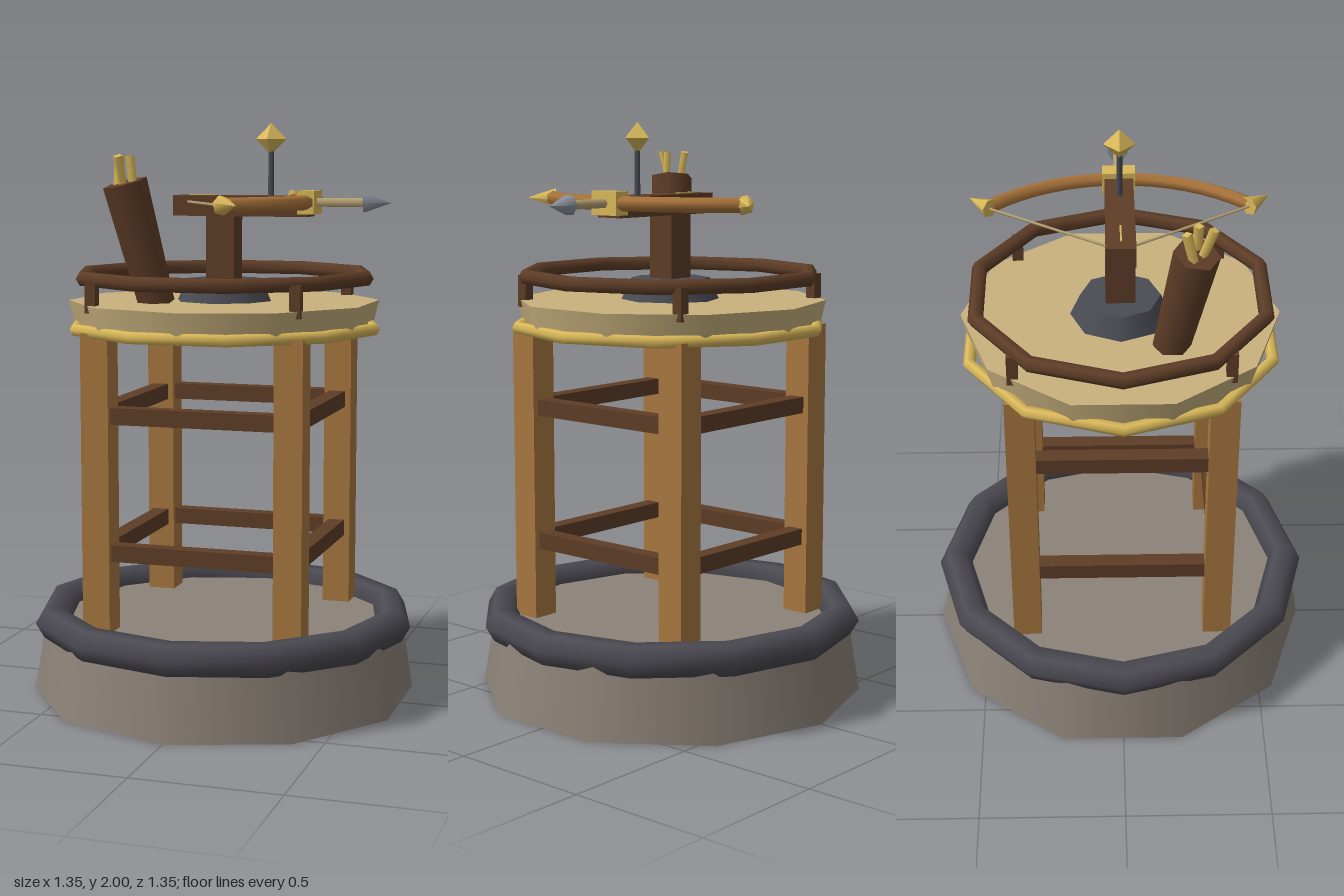
import * as THREE from 'three';

const mat = (color) => new THREE.MeshStandardMaterial({ color });
const V = (x, y, z) => new THREE.Vector3(x, y, z);

export function createModel() {
  const model = new THREE.Group();
  model.name = 'boltThrowerTower';

  const stone = mat(0x8c8278), iron = mat(0x4c4a52), oak = mat(0xa87840);
  const walnut = mat(0x5e3d27), deck = mat(0xc9b27e), gold = mat(0xdbb95a);
  const slate = mat(0x4a4c55), bowWood = mat(0xa8733a), cord = mat(0xb8a274);
  const steel = mat(0x8a909c);

  const add = (name, geo, material, x = 0, y = 0, z = 0) => {
    const m = new THREE.Mesh(geo, material);
    m.name = name;
    m.position.set(x, y, z);
    model.add(m);
    return m;
  };
  const box = (name, material, w, h, d, x, y, z) =>
    add(name, new THREE.BoxGeometry(w, h, d), material, x, y, z);
  const ring = (name, material, r, tube, y, sides) =>
    add(name, new THREE.TorusGeometry(r, tube, 6, sides).rotateX(Math.PI / 2), material, 0, y, 0);
  // Cylinder, cone or prism running from point a to point b
  const rod = (name, material, a, b, ra, rb, sides) => {
    const dir = b.clone().sub(a);
    const m = add(name, new THREE.CylinderGeometry(rb, ra, dir.length(), sides), material);
    m.position.copy(a).add(b).multiplyScalar(0.5);
    m.quaternion.setFromUnitVectors(V(0, 1, 0), dir.normalize());
    return m;
  };

  // Stone foot and its rim
  add('base', new THREE.CylinderGeometry(0.633, 0.677, 0.27, 10), stone, 0, 0.135, 0);
  ring('baseRim', iron, 0.615, 0.06, 0.271, 12);

  // Four legs with the railing posts above them
  for (const sx of [-1, 1]) {
    for (const sz of [-1, 1]) {
      box('leg', oak, 0.098, 1.04, 0.098, sx * 0.338, 0.78, sz * 0.338);
      box('railPost', walnut, 0.037, 0.11, 0.037, sx * 0.355, 1.422, sz * 0.355);
    }
  }

  // Cross beams between the legs at two heights
  for (const y of [0.547, 1.02]) {
    for (const s of [-1, 1]) {
      box('crossBeam', walnut, 0.76, 0.057, 0.057, 0, y, s * 0.338);
      box('crossBeam', walnut, 0.057, 0.057, 0.76, s * 0.338, y, 0);
    }
  }

  // Platform, gilded trim and railing
  add('platform', new THREE.CylinderGeometry(0.541, 0.515, 0.107, 10), deck, 0, 1.338, 0);
  ring('platformTrim', gold, 0.533, 0.022, 1.304, 10);
  ring('railing', walnut, 0.504, 0.027, 1.477, 10);

  // Swivel mount
  add('pedestal', new THREE.CylinderGeometry(0.137, 0.17, 0.075, 8), slate, 0, 1.428, 0);
  box('mountPost', walnut, 0.1, 0.26, 0.1, 0, 1.58, 0);
  box('stock', walnut, 0.48, 0.07, 0.098, 0.07, 1.719, 0);
  box('bowClamp', gold, 0.058, 0.08, 0.112, 0.305, 1.733, 0);

  // Bow limbs as one circular arc
  const Y = 1.733, R = 0.628, half = 0.76;
  const arc = [];
  for (let i = 0; i <= 12; i++) {
    const a = half * (i / 6 - 1);
    arc.push(V(0.31 - R + R * Math.cos(a), Y, R * Math.sin(a)));
  }
  add('bow', new THREE.TubeGeometry(new THREE.CatmullRomCurve3(arc), 16, 0.025, 6), bowWood);

  // Bow tips and string
  for (const s of [-1, 1]) {
    rod('bowTip', gold, V(0.125, Y, s * 0.43), V(0.195, Y, s * 0.502), 0.034, 0, 6);
    rod('bowString', cord, V(0.12, Y, s * 0.43), V(-0.145, Y, 0), 0.005, 0.005, 5);
  }

  // Loaded bolt
  rod('boltShaft', cord, V(-0.12, Y, 0), V(0.51, Y, 0), 0.017, 0.017, 6);
  rod('boltHead', steel, V(0.497, Y, 0), V(0.59, Y, 0), 0.037, 0, 6);
  box('boltFletching', gold, 0.095, 0.05, 0.006, -0.078, Y, 0);

  // Sight
  rod('sightRod', slate, V(0.168, 1.74, 0), V(0.168, 1.92, 0), 0.01, 0.01, 6);
  add('sightFinial', new THREE.OctahedronGeometry(0.054), gold, 0.168, 1.946, 0);

  // Leaning quiver with three spare bolts
  rod('quiver', walnut, V(-0.19, 1.385, 0.165), V(-0.278, 1.8, 0.236), 0.063, 0.077, 6);
  const spares = [[-1, 0.2], [0, 0.288], [1, 0.24]];
  for (const [s, z] of spares) {
    const foot = V(-0.277 + s * 0.034, 1.74, 0.236);
    rod('spareBolt', gold, foot, V(-0.283 + s * 0.025, 1.89, z), 0.014, 0.017, 4);
  }

  return model;
}
